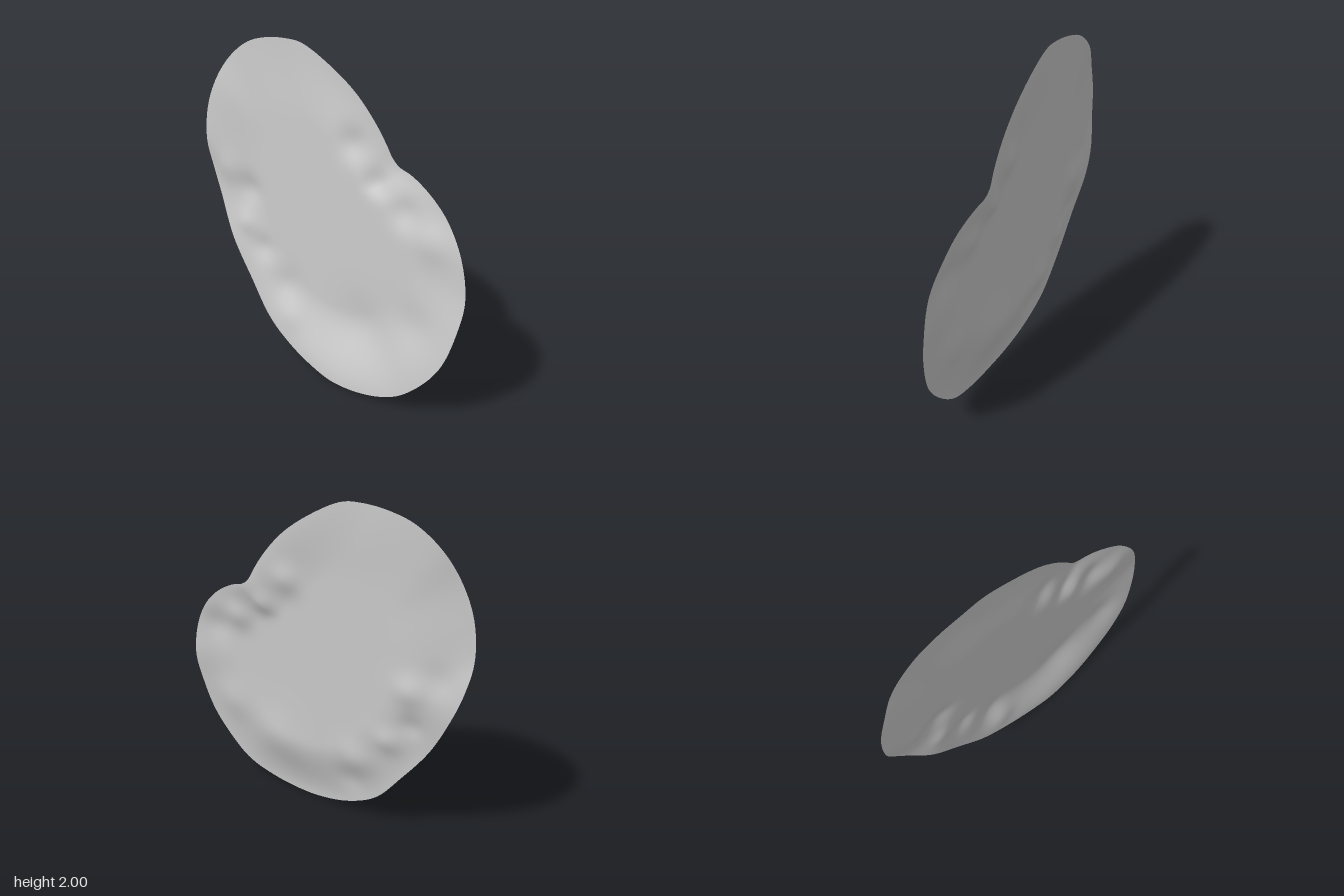
import * as THREE from 'three';
import { mergeVertices } from 'three/addons/utils/BufferGeometryUtils.js';

// Rim of the sheet, counter-clockwise seen from the front: x, y, z
const RIM = [
  [0.97, 0.82, -0.03], [0.92, 1.05, -0.04], [0.82, 1.21, -0.06], [0.70, 1.32, -0.07],
  [0.56, 1.395, -0.085], [0.475, 1.42, -0.09], [0.43, 1.455, -0.09], [0.385, 1.53, -0.085],
  [0.31, 1.635, -0.08], [0.18, 1.77, -0.075], [0, 1.895, -0.065], [-0.20, 1.99, -0.055],
  [-0.32, 2.0, -0.05], [-0.48, 1.985, -0.05], [-0.63, 1.94, -0.045], [-0.78, 1.83, -0.03],
  [-0.88, 1.68, 0], [-0.95, 1.5, 0.015], [-0.97, 1.28, 0.02], [-0.94, 1.1, 0],
  [-0.88, 0.93, 0.0], [-0.75, 0.67, 0.03], [-0.58, 0.43, 0.04], [-0.40, 0.21, 0.055],
  [-0.20, 0.09, 0.07], [0, 0.025, 0.085], [0.18, 0, 0.095], [0.42, 0.025, 0.085],
  [0.62, 0.10, 0.065], [0.78, 0.245, 0.05], [0.89, 0.41, 0.03], [0.95, 0.62, 0],
];

// Soft dents and swellings: x, y, radius, depth
const RIPPLES = [
  [0.18, 1.49, 0.09, -0.025], [0.36, 1.30, 0.07, -0.02], [0.55, 1.19, 0.09, -0.025],
  [-0.63, 1.02, 0.09, -0.022], [-0.50, 0.66, 0.08, -0.02], [-0.30, 0.46, 0.10, -0.018],
  [-0.80, 1.12, 0.09, 0.015], [-0.64, 0.80, 0.07, 0.015], [-0.22, 0.28, 0.09, 0.012],
  [0.30, 0.42, 0.16, -0.015], [0.68, 0.55, 0.13, -0.015], [0.75, 1.08, 0.1, 0.015],
];

export function createModel() {
  const group = new THREE.Group();
  const segments = 192, rings = 36;
  const rim = new THREE.CatmullRomCurve3(RIM.map(p => new THREE.Vector3(...p)), true, 'centripetal')
    .getSpacedPoints(segments);

  // Flat disc stretched to the rim: level in the middle, curling towards the edge
  const geometry = new THREE.RingGeometry(0, 1, segments, rings);
  const pos = geometry.attributes.position;
  for (let i = 0; i < pos.count; i++) {
    const t = Math.floor(i / (segments + 1)) / rings;
    const edge = rim[i % (segments + 1)];
    const x = edge.x * t, y = 1 + (edge.y - 1) * t;
    const curl = THREE.MathUtils.smoothstep(t, 0.55, 1.02);
    let z = THREE.MathUtils.lerp(-0.022 - 0.02 * (y - 1), edge.z, curl);
    for (const [rx, ry, r, d] of RIPPLES) z += d * Math.exp(-((x - rx) ** 2 + (y - ry) ** 2) / (r * r));
    pos.setXYZ(i, x, y, z);
  }

  // Weld the seam and the centre so the shading is smooth
  geometry.deleteAttribute('uv');
  geometry.deleteAttribute('normal');
  const smooth = mergeVertices(geometry, 1e-4);
  smooth.computeVertexNormals();

  const sheet = new THREE.Mesh(smooth, new THREE.MeshStandardMaterial({ color: 0xcccccc, side: THREE.DoubleSide }));
  sheet.name = 'wavySheet';
  group.add(sheet);
  return group;
}
